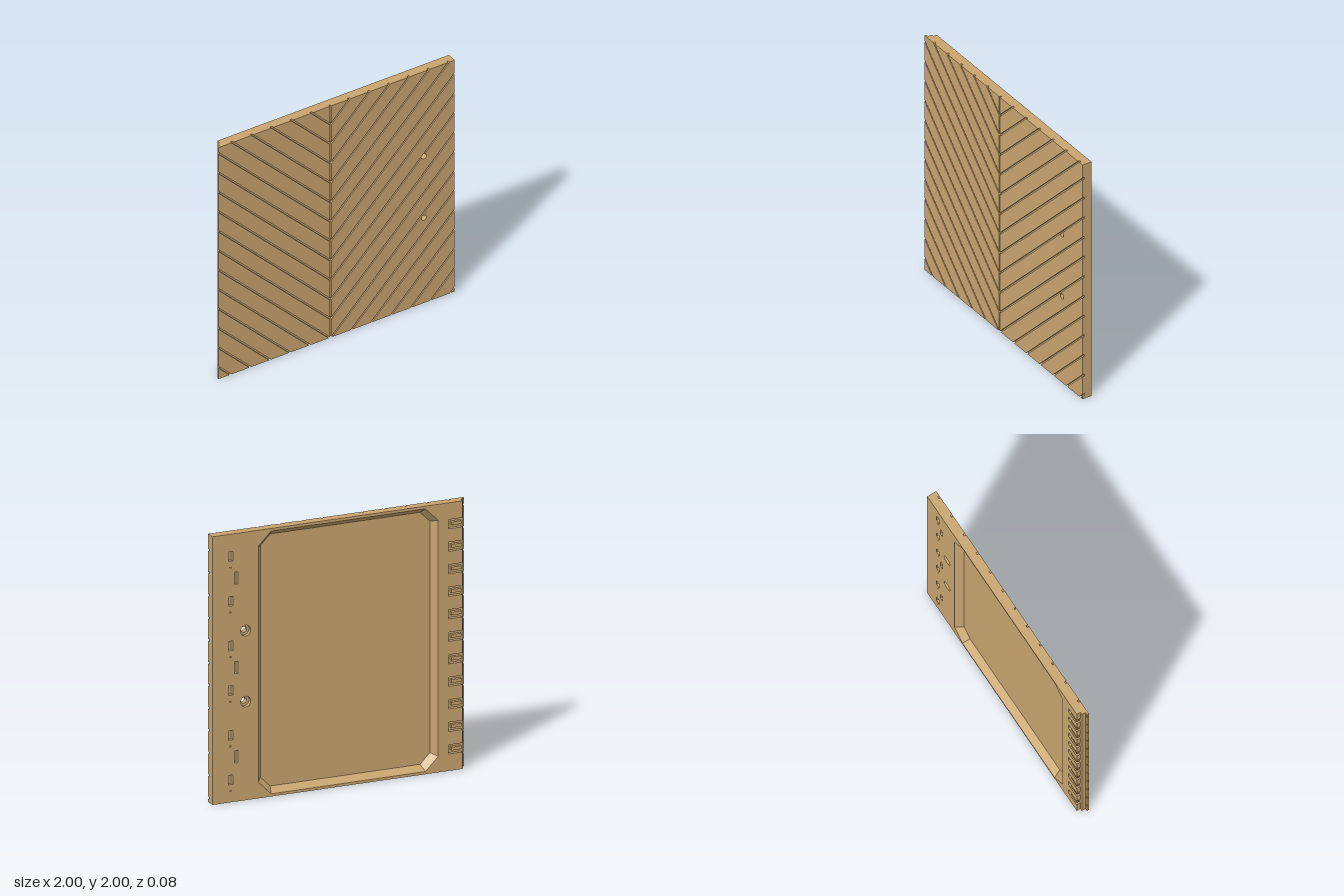
import * as THREE from 'three';

const BACK = -0.038, FRONT = 0.038;      // overall thickness
const POCKET = -0.008;                   // floor of the small back pockets
const FLOOR = 0.017;                     // floor of the large back recess
const GROOVE = 0.022;                    // bottom of the front grooves
const MID = -0.05;                       // x of the chevron centre line
const PITCH = 0.168;                     // vertical spacing of the grooves
const BOLTS = [[0.74, 1.265], [0.74, 0.735]];
const BOLT_R = 0.022;

const wood = new THREE.MeshStandardMaterial({ color: 0xc9a570 });
wood.name = 'warm wood';

const toVec = (pts) => pts.map(([x, y]) => new THREE.Vector2(x, y));

// Flat slab of a given outline between two depths
function slab(name, outline, holes, z0, z1) {
  const shape = new THREE.Shape(toVec(outline));
  for (const h of holes) shape.holes.push(new THREE.Path(toVec(h)));
  const geo = new THREE.ExtrudeGeometry(shape, { depth: z1 - z0, bevelEnabled: false });
  geo.translate(0, 0, z0);
  const mesh = new THREE.Mesh(geo, wood);
  mesh.name = name;
  return mesh;
}

const rect = (x0, x1, y0, y1) => [[x0, y0], [x1, y0], [x1, y1], [x0, y1]];
const slot = (x, y, w, h) => rect(x - w / 2, x + w / 2, y - h / 2, y + h / 2);

function ring(cx, cy, r, n = 12) {
  return Array.from({ length: n }, (_, i) => {
    const a = (i + 0.5) / n * Math.PI * 2;
    return [cx + r * Math.cos(a), cy + r * Math.sin(a)];
  });
}

// Rectangle with cut corners, counter-clockwise
function cutRect(x0, x1, y0, y1, c) {
  return [[x0 + c, y0], [x1 - c, y0], [x1, y0 + c], [x1, y1 - c],
    [x1 - c, y1], [x0 + c, y1], [x0, y1 - c], [x0, y0 + c]];
}

// Keep the part of a polygon where nx*x + ny*y <= d
function clip(poly, nx, ny, d) {
  const out = [];
  poly.forEach((p, i) => {
    const q = poly[(i + 1) % poly.length];
    const dp = nx * p[0] + ny * p[1] - d, dq = nx * q[0] + ny * q[1] - d;
    if (dp <= 0) out.push(p);
    if (dp * dq < 0) {
      const t = dp / (dp - dq);
      out.push([p[0] + (q[0] - p[0]) * t, p[1] + (q[1] - p[1]) * t]);
    }
  });
  return out;
}

// One diagonal plank; u runs outward from the centre line
function plank(side, k) {
  const half = side > 0 ? 1 - MID : 1 + MID;
  const gap = 0.008;
  const lo = 1 + PITCH * k + gap, hi = 1 + PITCH * (k + 1) - gap;
  let poly = [[-0.5, lo - 0.5], [2, lo + 2], [2, hi + 2]];
  const holes = [];
  if (side > 0) {
    for (const [bx, by] of BOLTS) {
      const u = bx - MID, a = by - u;
      if (a < lo || a > hi) continue;
      const dist = (hi - a) / Math.SQRT2;
      if (dist > BOLT_R) { holes.push(ring(u, by, BOLT_R)); continue; }
      // bolt hole breaks into the groove: notch the plank's upper edge
      const start = Math.acos(dist / BOLT_R);
      for (let i = 0; i <= 10; i++) {
        const t = -start - (2 * Math.PI - 2 * start) * i / 10;
        const n = BOLT_R * Math.cos(t) / Math.SQRT2, s = -BOLT_R * Math.sin(t) / Math.SQRT2;
        poly.push([u - n + s, by + n + s]);
      }
    }
  }
  poly.push([-0.5, hi - 0.5]);
  poly = clip(poly, -1, 0, -0.005);
  poly = clip(poly, 1, 0, half);
  poly = clip(poly, 0, -1, 0);
  poly = clip(poly, 0, 1, 2);
  if (poly.length < 3) return null;
  const place = (pts) => pts.map(([u, v]) => [MID + side * u, v]);
  return slab(side > 0 ? 'leftPlank' : 'rightPlank', place(poly), holes.map(place), GROOVE, FRONT);
}

// Sloping walls between the rim of the recess and its floor
function recessWalls(outer, inner) {
  const pos = [];
  outer.forEach((_, i) => {
    const j = (i + 1) % outer.length;
    const a = [...outer[i], BACK], b = [...inner[i], FLOOR];
    const c = [...inner[j], FLOOR], d = [...outer[j], BACK];
    pos.push(...a, ...b, ...c, ...a, ...c, ...d);
  });
  const geo = new THREE.BufferGeometry();
  geo.setAttribute('position', new THREE.Float32BufferAttribute(pos, 3));
  geo.computeVertexNormals();
  const mesh = new THREE.Mesh(geo, wood);
  mesh.name = 'recessWalls';
  return mesh;
}

export function createModel() {
  const group = new THREE.Group();
  group.name = 'chevronPanel';

  // Front: chevron planks separated by grooves
  const planks = new THREE.Group();
  planks.name = 'chevronPlanks';
  for (const side of [1, -1]) {
    for (let k = -14; k <= 6; k++) {
      const p = plank(side, k);
      if (p) planks.add(p);
    }
  }
  group.add(planks);

  // Large recess in the back
  const rim = cutRect(-0.77, 0.64, 0.02, 1.98, 0.1);
  const foot = cutRect(-0.73, 0.6, 0.06, 1.94, 0.077);
  group.add(recessWalls(rim, foot));

  // Thin web behind the grooves, then the core with its stepped edge
  const bolts = BOLTS.map(([x, y]) => ring(x, y, BOLT_R));
  group.add(slab('web', rect(-0.98, 1, 0, 2), bolts, FLOOR, GROOVE));
  group.add(slab('core', rect(-0.98, 1, 0, 2), [rim, ...bolts], POCKET, FLOOR));

  // Back layer: pockets, counterbores and clip notches along one edge
  const holes = [rim, ...BOLTS.map(([x, y]) => ring(x, y, 0.04, 16))];
  for (let i = 0; i < 6; i++) {
    const y = 1 / 6 + i / 3;
    holes.push(slot(0.858, y, 0.036, 0.07), slot(0.858, y - 0.083, 0.016, 0.006));
  }
  for (const y of [1 / 3, 1, 5 / 3]) holes.push(slot(0.815, y, 0.026, 0.09));

  const outline = [[-0.96, 0], [1, 0], [1, 2], [-0.96, 2]];
  const clips = new THREE.Group();
  clips.name = 'clips';
  for (let k = 5; k >= -5; k--) {
    const y = 1 + PITCH * k, h = 0.034;
    outline.push([-0.96, y + h], [-0.85, y + h], [-0.85, y - h], [-0.96, y - h]);
    clips.add(slab('clip', rect(-0.955, -0.875, y - 0.012, y + 0.012), [], BACK + 0.004, POCKET));
  }
  group.add(clips);
  group.add(slab('backFrame', outline, holes, BACK, POCKET));

  return group;
}
